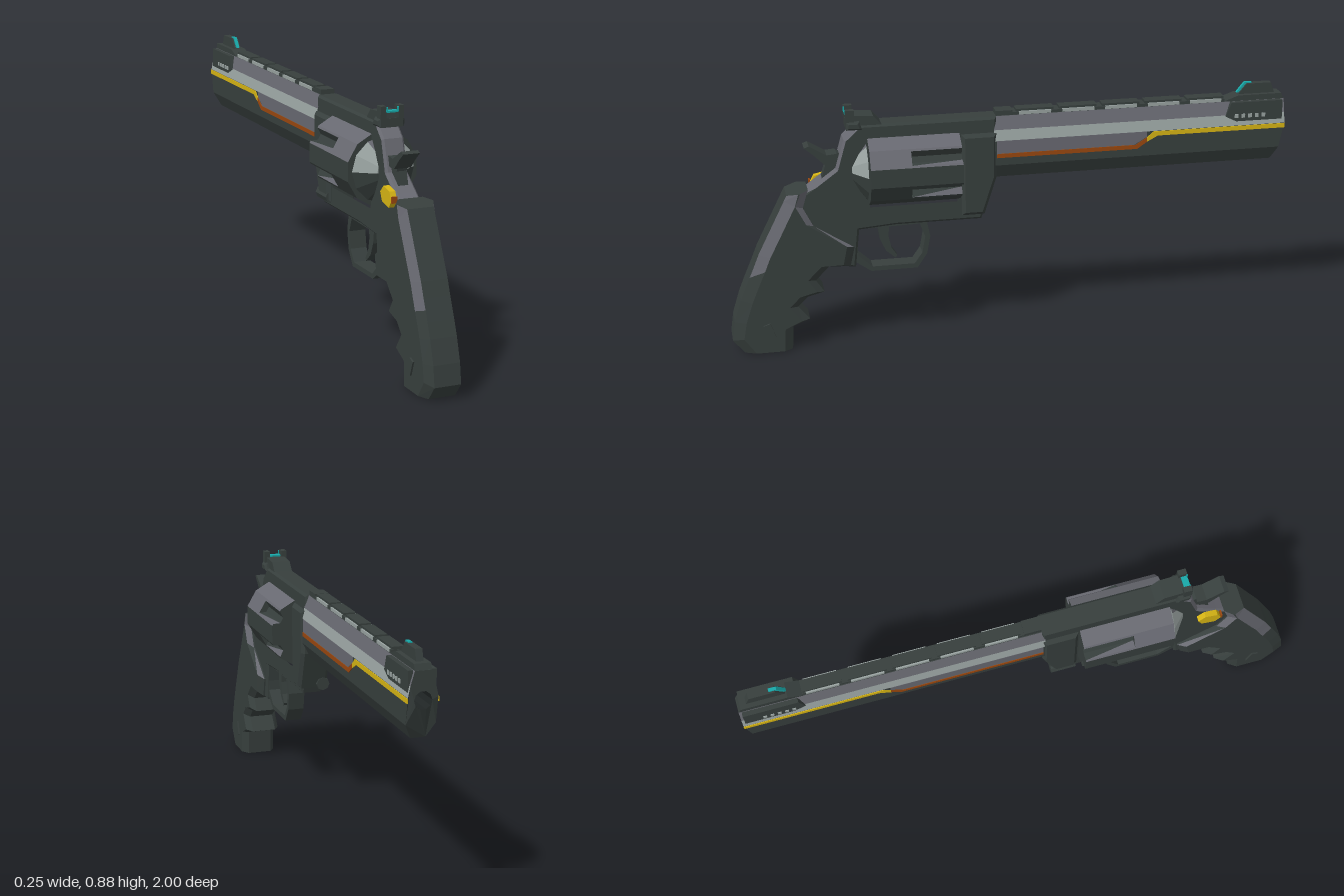
import * as THREE from 'three';

const mat = (name, color) => Object.assign(new THREE.MeshStandardMaterial({ color }), { name });

export function createModel() {
  const dark = mat('dark gunmetal', 0x373f3d), grey = mat('worn grey edge', 0x686971);
  const light = mat('bright steel', 0x99a3a1), black = mat('black bore', 0x202525);
  const yellow = mat('yellow stripe', 0xd6b414), orange = mat('orange stripe', 0x99470f);
  const teal = mat('teal sight', 0x18a8a8);
  const model = new THREE.Group();

  // Flat-shaded mesh; pick(normal, centre) optionally chooses a material per face
  function add(name, geo, material, pick) {
    const g = geo.index ? geo.toNonIndexed() : geo;
    g.clearGroups();
    g.computeVertexNormals();
    let mats = material;
    if (pick) {
      mats = [];
      const p = g.attributes.position, n = new THREE.Vector3(), c = new THREE.Vector3(), v = new THREE.Vector3();
      for (let i = 0; i < p.count; i += 3) {
        n.fromBufferAttribute(g.attributes.normal, i);
        c.set(0, 0, 0);
        for (let k = 0; k < 3; k++) c.addScaledVector(v.fromBufferAttribute(p, i + k), 1 / 3);
        const m = pick(n, c);
        if (!mats.includes(m)) mats.push(m);
        const last = g.groups[g.groups.length - 1], id = mats.indexOf(m);
        if (last && last.materialIndex === id) last.count += 3;
        else g.addGroup(i, 3, id);
      }
    }
    const mesh = new THREE.Mesh(g, mats);
    mesh.name = name;
    model.add(mesh);
    return mesh;
  }

  // Side profile given as [z, y] points, spanning x0..x1
  function profile(points, x0, x1, hole, bevel = 0) {
    const vecs = (pts) => pts.map(([z, y]) => new THREE.Vector2(-z, y));
    const shape = new THREE.Shape(vecs(points));
    if (hole) shape.holes.push(new THREE.Path(vecs(hole)));
    const g = new THREE.ExtrudeGeometry(shape, {
      depth: x1 - x0 - 2 * bevel, bevelEnabled: bevel > 0, bevelSegments: 1,
      bevelSize: bevel, bevelThickness: bevel, bevelOffset: -bevel,
    });
    return g.rotateY(Math.PI / 2).translate(x0 + bevel, 0, 0);
  }
  const box = (x, y, z, w, h, d) => new THREE.BoxGeometry(w, h, d).translate(x, y, z);

  // Grip: lofted from [back z, back y, front z, front y] stations
  const stations = [
    [.96, 0, .79, 0], [1, .05, .785, .09], [.99, .12, .725, .11], [.965, .2, .765, .16],
    [.945, .25, .73, .195], [.93, .285, .67, .21], [.915, .32, .70, .255], [.895, .37, .65, .305],
    [.86, .44, .575, .30], [.84, .48, .56, .37], [.82, .52, .70, .46], [.80, .56, .735, .53], [.79, .58, .715, .595],
  ];
  const rings = stations.map(([bz, by, fz, fy]) => {
    const L = Math.hypot(fz - bz, fy - by);
    const half = [[.047, 0], [.065, .04 / L], [.065, 1 - .03 / L], [.045, 1]];
    const side = (s) => half.map(([x, t]) => [s * x, by + (fy - by) * t, bz + (fz - bz) * t]);
    return [...side(1), ...side(-1).reverse()];
  });
  const verts = [];
  const tri = (...pts) => pts.forEach((p) => verts.push(...p));
  for (let j = 0; j < rings.length - 1; j++) {
    for (let i = 0; i < 8; i++) {
      const k = (i + 1) % 8, a = rings[j], b = rings[j + 1];
      tri(a[i], a[k], b[k]);
      tri(a[i], b[k], b[i]);
    }
  }
  const top = rings[rings.length - 1];
  for (let i = 1; i < 7; i++) {
    tri(rings[0][0], rings[0][i + 1], rings[0][i]);
    tri(top[0], top[i], top[i + 1]);
  }
  const gripGeo = new THREE.BufferGeometry();
  gripGeo.setAttribute('position', new THREE.Float32BufferAttribute(verts, 3));
  add('grip', gripGeo, dark, (n, c) => {
    const bevel = Math.abs(n.x) > .2 && Math.abs(n.x) < .95;
    return bevel && ((n.z > .2 && c.y > .29) || (n.z < 0 && c.y > .36)) ? grey : dark;
  });
  for (const s of [-1, 1]) add('gripPin', box(0, 0, 0, .01, .055, .025).rotateX(.35).translate(s * .066, .083, .87), dark);

  // Frame with the cylinder window
  add('frame', profile(
    [[.74, .57], [.69, .605], [.615, .66], [.585, .765], [.53, .815], [.05, .815], [.05, .6], [.105, .44],
      [.41, .44], [.54, .43], [.555, .29], [.66, .305], [.75, .45]],
    -.04, .04, [[.508, .505], [.508, .775], [.178, .775], [.178, .505]], .008),
  dark, (n, c) => (n.z > .3 && c.y > .58 && c.z > .52 ? grey : dark));
  add('frameFront', profile(
    [[.176, .76], [.05, .76], [.05, .6], [.095, .46], [.176, .46]], -.055, .055, null, .012), dark);
  add('crane', new THREE.CylinderGeometry(.024, .024, .09, 8).rotateX(Math.PI / 2).translate(-.035, .475, .125), dark);
  add('triggerGuard', profile(
    [[.575, .44], [.56, .31], [.5, .268], [.335, .268], [.3, .32], [.288, .385], [.3, .445]], -.03, .03,
    [[.55, .43], [.545, .33], [.495, .285], [.345, .285], [.317, .325], [.306, .385], [.325, .435]]), dark);
  add('trigger', profile(
    [[.475, .45], [.465, .38], [.445, .335], [.41, .305], [.405, .315], [.425, .345], [.435, .39], [.43, .45]], -.014, .014), dark);

  // Hammer with a wide spur
  add('hammer', profile(
    [[.67, .60], [.65, .67], [.655, .69], [.61, .715], [.57, .70], [.57, .62]], -.018, .018), dark);
  add('hammerSpur', profile(
    [[.722, .742], [.705, .748], [.645, .712], [.61, .715], [.62, .68], [.655, .68], [.69, .715]], -.03, .03), dark);

  // Recoil shield
  add('recoilShield', new THREE.CylinderGeometry(.045, .113, .05, 12).rotateX(Math.PI / 2).translate(0, .645, .534),
    dark, (n, c) => (c.y < .645 ? dark : n.y > .5 ? grey : light));

  // Twelve-sided cylinder; the forward half is fluted on every other side
  function drum(fluted, z0, z1) {
    const R = .1294, pts = [];
    for (let k = 0; k < 12; k++) {
      const corner = (i) => new THREE.Vector2(R, 0).rotateAround(new THREE.Vector2(), (15 + 30 * i) * Math.PI / 180);
      const a = corner(k), b = corner(k + 1);
      pts.push(a);
      if (fluted && k % 2 === 0) {
        for (const [t, r] of [[.12, 1], [.3, .82], [.7, .82], [.88, 1]]) pts.push(a.clone().lerp(b, t).multiplyScalar(r));
      }
    }
    return new THREE.ExtrudeGeometry(new THREE.Shape(pts), { depth: z1 - z0, bevelEnabled: false }).translate(0, .645, z0);
  }
  const drumPaint = (n, c) => (n.y > .2 && Math.hypot(c.x, c.y - .645) > .116 ? grey : dark);
  add('cylinderFront', drum(true, .182, .36), dark, drumPaint);
  add('cylinderRear', drum(false, .36, .504), dark, drumPaint);

  // Barrel with an open bore and a slanted chin at the muzzle
  const half = [[.025, .59], [.05, .64], [.05, .73], [.042, .768], [.028, .815]];
  const section = new THREE.Shape([...half, ...half.map(([x, y]) => [-x, y]).reverse()].map((p) => new THREE.Vector2(...p)));
  section.holes.push(new THREE.Path().absarc(0, .72, .03, 0, Math.PI * 2, true));
  const barrel = new THREE.ExtrudeGeometry(section, { depth: 1.06, bevelEnabled: false, curveSegments: 5 }).translate(0, 0, -1);
  const bp = barrel.attributes.position;
  for (let i = 0; i < bp.count; i++) {
    if (bp.getZ(i) < -.9) bp.setZ(i, -1 + Math.max(0, .68 - bp.getY(i)) * .45);
  }
  add('barrel', barrel, dark, (n, c) => {
    if (Math.abs(n.z) > .5) return dark;
    if (Math.hypot(c.x, c.y - .72) < .032) return black;
    return n.y > .1 && n.y < .9 ? (c.y < .768 ? light : grey) : dark;
  });
  add('boreEnd', new THREE.CircleGeometry(.031, 10).rotateY(Math.PI).translate(0, .72, -.85), black);

  // Side panels and stripes, mirrored
  for (const s of [-1, 1]) {
    const plate = (name, pts, x, t, m) => add(name, profile(pts, s > 0 ? x : -x - t, s > 0 ? x + t : -x), m);
    plate('sidePanel', [[.05, .68], [-.44, .68], [-.49, .71], [-.49, .73], [.05, .73]], .05, .001, grey);
    plate('orangeStripe', [[.05, .668], [-.455, .668], [-.49, .692], [-.49, .708], [-.45, .683], [.05, .683]], .05, .003, orange);
    plate('yellowStripe', [[-.49, .692], [-.53, .713], [-1, .713], [-1, .729], [-.515, .729], [-.49, .708]], .05, .003, yellow);
    plate('muzzlePanel', [[-.78, .765], [-.82, .745], [-.99, .745], [-.99, .815], [-.8, .815]], .03, .017, dark);
    for (let i = 0; i < 5; i++) add('vent', box(s * .048, .765, -.82 - i * .025, .004, .014, .013), light);
  }

  // Vented rib along the top of the barrel
  add('rib', box(0, .817, -.365, .05, .016, .83), dark);
  for (let i = 0; i < 5; i++) {
    const z = -.09 - i * .155;
    add('ribBlock', box(0, .827, z, .042, .014, .135), dark);
    for (const s of [-1, 1]) add('ribSlot', box(s * .0235, .82, z, .006, .013, .115), light);
  }
  add('ribRear', box(0, .822, .02, .05, .02, .06), dark);

  // Front sight ramp
  add('frontSightBase', profile(
    [[-.76, .81], [-.83, .835], [-.99, .835], [-1, .81], [-1, .765], [-.8, .765]], -.028, .028), dark);
  add('frontSight', profile([[-.83, .83], [-.865, .872], [-.955, .872], [-.97, .83]], -.012, .012), dark);
  add('frontSightInsert', profile([[-.829, .84], [-.858, .876], [-.885, .876], [-.885, .84]], -.006, .006), teal);

  // Rear sight with a square notch
  add('rearSightBase', profile([[.575, .815], [.57, .85], [.48, .845], [.45, .812]], -.034, .034), dark);
  add('rearSightSteps', profile([[.575, .80], [.575, .83], [.53, .83], [.52, .80]], -.048, .048, null, .008), dark);
  for (const s of [-1, 1]) add('rearSightEar', box(s * .032, .85, .562, .02, .042, .03), dark);
  add('rearSightInsert', box(0, .852, .566, .044, .006, .022), teal);
  for (const s of [-1, 1]) add('rearSightMark', box(s * .02, .86, .576, .005, .016, .004), teal);

  // Cylinder release latch on the right side
  add('latch', profile([[.70, .585], [.685, .615], [.64, .625], [.615, .6], [.63, .57], [.68, .56]], -.06, -.039), yellow);
  add('latchBack', box(-.05, .59, .701, .02, .022, .006), orange);

  model.name = 'revolver';
  return model;
}
